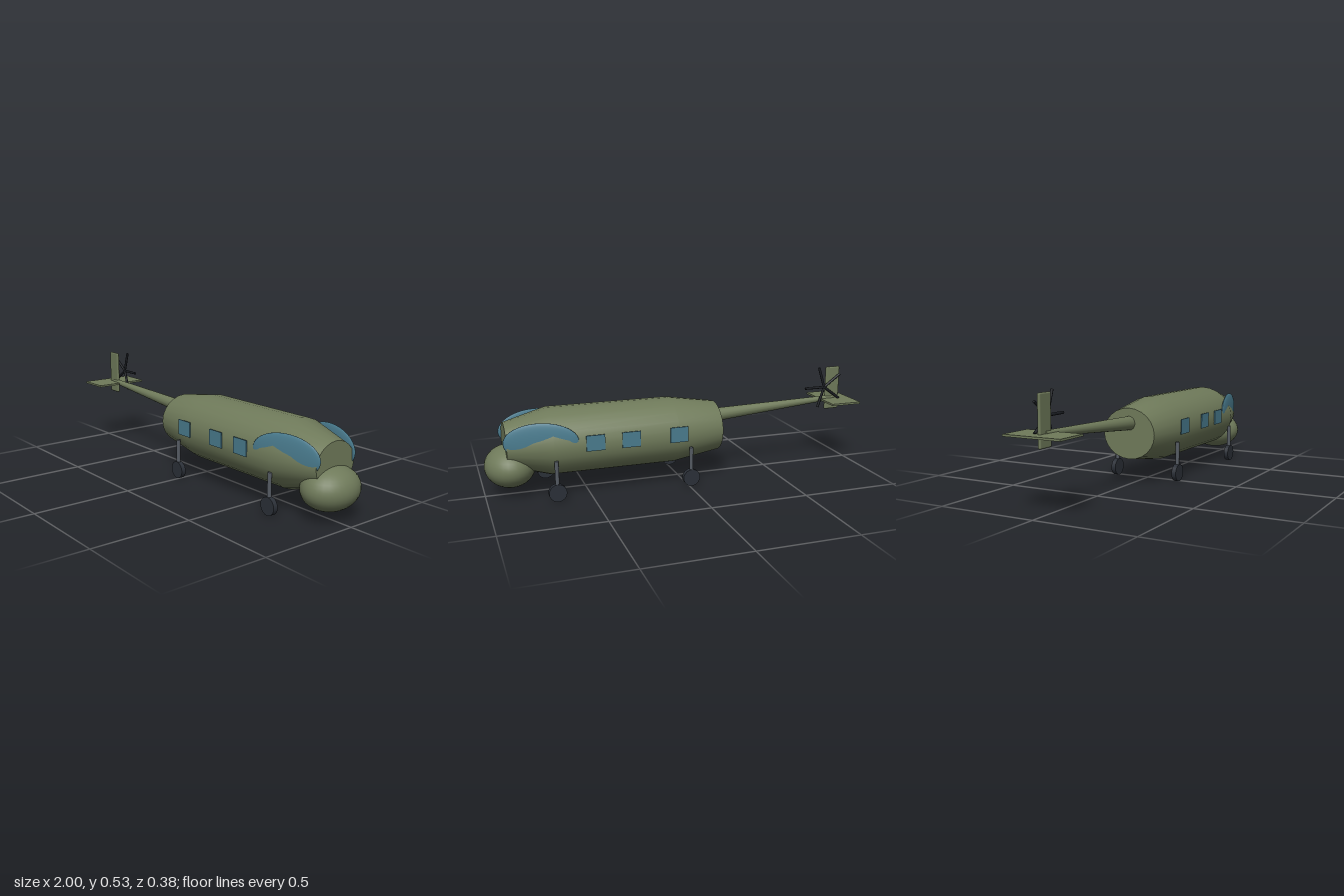
import * as THREE from 'three';
import { RoundedBoxGeometry } from 'three/addons/geometries/RoundedBoxGeometry.js';

const material = (name, color) => {
  const m = new THREE.MeshStandardMaterial({ color });
  m.name = name;
  return m;
};

export function createModel() {
  const olive = material('olive paint', 0x6f7a5a);
  const glass = material('blue glass', 0x4a7c8f);
  const steel = material('strut grey', 0x555b63);
  const rubber = material('tyre dark grey', 0x2b3038);
  const black = material('rotor black', 0x1a1d22);

  const model = new THREE.Group();
  model.name = 'helicopter';
  const add = (name, geometry, mat, x, y, z, parent = model) => {
    const mesh = new THREE.Mesh(geometry, mat);
    mesh.name = name;
    mesh.position.set(x, y, z);
    parent.add(mesh);
    return mesh;
  };

  // Fuselage: elliptical barrel along x, tapered at both ends, with flat caps
  const height = 0.168, width = 0.188;
  const profile = [[0.77, -0.2], [1, 0.05], [1, 0.68], [0.64, 0.895]];
  const barrel = new THREE.LatheGeometry(profile.map(([r, x]) => new THREE.Vector2(r, x)), 24);
  barrel.rotateZ(-Math.PI / 2).scale(1, height, width);
  add('fuselage', barrel, olive, 0, 0.258, 0);
  for (const [name, [r, x], turn] of [['rearBulkhead', profile[0], -1], ['frontBulkhead', profile[3], 1]]) {
    const cap = new THREE.CircleGeometry(r, 24).rotateY(turn * Math.PI / 2).scale(1, height, width);
    add(name, cap, olive, x, 0.258, 0);
  }

  // Chin nose bulb
  add('nose', new THREE.SphereGeometry(1, 32, 20).scale(0.125, 0.105, 0.148), olive, 0.872, 0.148, 0);

  // Tail boom, thinning toward the rear
  const boom = new THREE.CylinderGeometry(0.013, 0.036, 0.72, 16).rotateZ(Math.PI / 2);
  add('tailBoom', boom, olive, -0.545, 0.331, 0).rotation.z = -0.057;

  // Tail surfaces
  add('stabilizer', new THREE.BoxGeometry(0.168, 0.01, 0.294), olive, -0.916, 0.346, 0);
  add('tailFin', new RoundedBoxGeometry(0.082, 0.237, 0.016, 3, 0.007), olive, -0.904, 0.407, 0);

  // Five-bladed tail rotor on the right side of the fin
  const rotor = new THREE.Group();
  rotor.name = 'tailRotor';
  rotor.position.set(-0.84, 0.42, -0.03);
  model.add(rotor);
  for (let i = 0; i < 5; i++) {
    const blade = new THREE.CylinderGeometry(0.007, 0.007, 0.115, 8).translate(0, 0.0575, 0);
    add('rotorBlade', blade, black, 0, 0, 0, rotor).rotation.z = -Math.PI / 2 + i * Math.PI * 2 / 5;
  }

  for (const side of [1, -1]) {
    // Bulging cockpit windscreen, angled in toward the nose
    const bubble = new THREE.SphereGeometry(1, 32, 20).scale(0.18, 0.096, 0.016);
    add('cockpitWindow', bubble, glass, 0.735, 0.292, side * 0.145).rotation.y = side * 0.2;

    // Square cabin windows
    for (const x of [0.055, 0.302, 0.48]) {
      add('cabinWindow', new THREE.BoxGeometry(0.092, 0.078, 0.005), glass, x, 0.279, side * 0.1895);
    }

    // Landing gear
    for (const x of [-0.012, 0.672]) {
      add('strut', new THREE.CylinderGeometry(0.01, 0.01, 0.16, 12), steel, x, 0.123, side * 0.179);
      const wheel = new THREE.CylinderGeometry(0.044, 0.044, 0.024, 20).rotateX(Math.PI / 2);
      add('wheel', wheel, rubber, x, 0.044, side * 0.179);
    }
  }
  return model;
}
